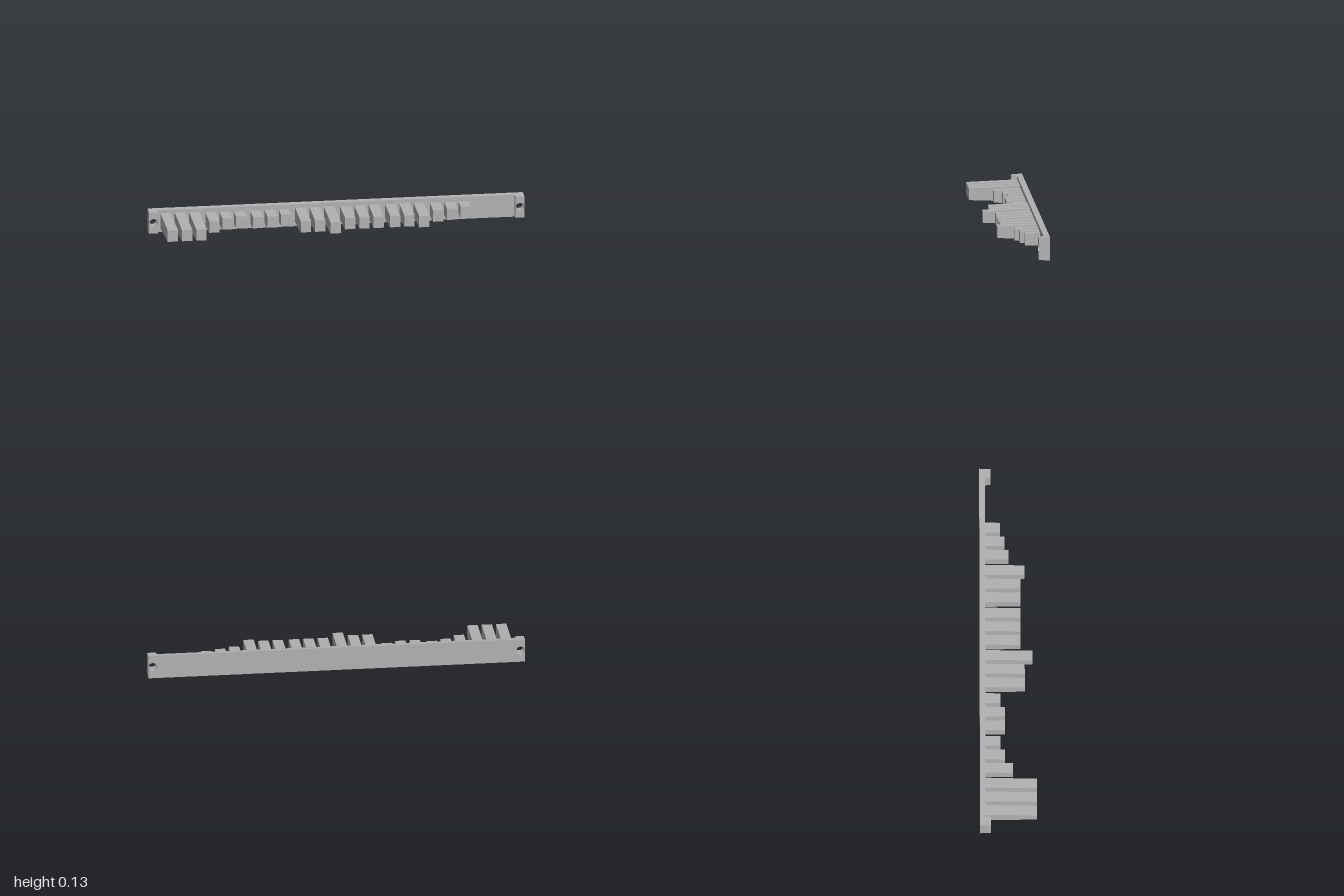
import * as THREE from 'three';

const MID_Y = 0.0635; // height of the bar's centre line
const BACK_Z = -0.15;

// Shift the outer top and bottom vertices towards the centre line by slope along z
function taper(geometry, minOffset, slope, z0) {
  const p = geometry.attributes.position;
  for (let i = 0; i < p.count; i++) {
    const y = p.getY(i);
    if (Math.abs(y) > minOffset) p.setY(i, y - Math.sign(y) * slope * (p.getZ(i) - z0));
  }
  geometry.computeVertexNormals();
  return geometry;
}

// Bar section between two x values, narrowing towards the front
function barSection(x0, x1, depth, holeX) {
  const h = MID_Y;
  const shape = new THREE.Shape();
  shape.moveTo(x0, -h).lineTo(x1, -h).lineTo(x1, h).lineTo(x0, h).closePath();
  if (holeX !== undefined) {
    shape.holes.push(new THREE.Path().absarc(holeX, 0, 0.0225, 0, Math.PI * 2, true));
  }
  const g = new THREE.ExtrudeGeometry(shape, { depth, bevelEnabled: false, curveSegments: 20 });
  return taper(g, 0.05, 0.09, 0);
}

export function createModel() {
  const group = new THREE.Group();
  group.name = 'tinedBar';
  const grey = new THREE.MeshStandardMaterial({ color: 0xb0b0b0 });
  grey.name = 'grey';

  const add = (name, geometry, x, y, z) => {
    const mesh = new THREE.Mesh(geometry, grey);
    mesh.name = name;
    mesh.position.set(x, y, z);
    group.add(mesh);
  };

  // Back bar with a thicker, drilled block at each end
  add('backBar', barSection(-0.952, 0.952, 0.03), 0, MID_Y, BACK_Z);
  add('rightEndBlock', barSection(-1, -0.952, 0.059, -0.976), 0, MID_Y, BACK_Z);
  add('leftEndBlock', barSection(0.952, 1, 0.059, 0.976), 0, MID_Y, BACK_Z);

  // Tines in groups of three; each number is a tip depth
  const tips = [
    [0.15, 0.15, 0.15],
    [0.025, -0.018, -0.04],
    [-0.018, -0.018, -0.04],
    [0.088, 0.088, 0.129],
    [0.067, 0.067, 0.067],
    [0.067, 0.067, 0.088],
    [0.004, -0.018, -0.04],
  ];
  const rootZ = BACK_Z + 0.03;
  tips.forEach((row, i) => row.forEach((tipZ, j) => {
    const length = tipZ - rootZ;
    const g = new THREE.BoxGeometry(0.055, 0.062, length);
    taper(g, 0, 0.04, length / 2);
    add(`tine${i * 3 + j + 1}`, g, -0.908 + i * 0.2393 + j * 0.0762, 0.0645, rootZ + length / 2);
  }));

  return group;
}
